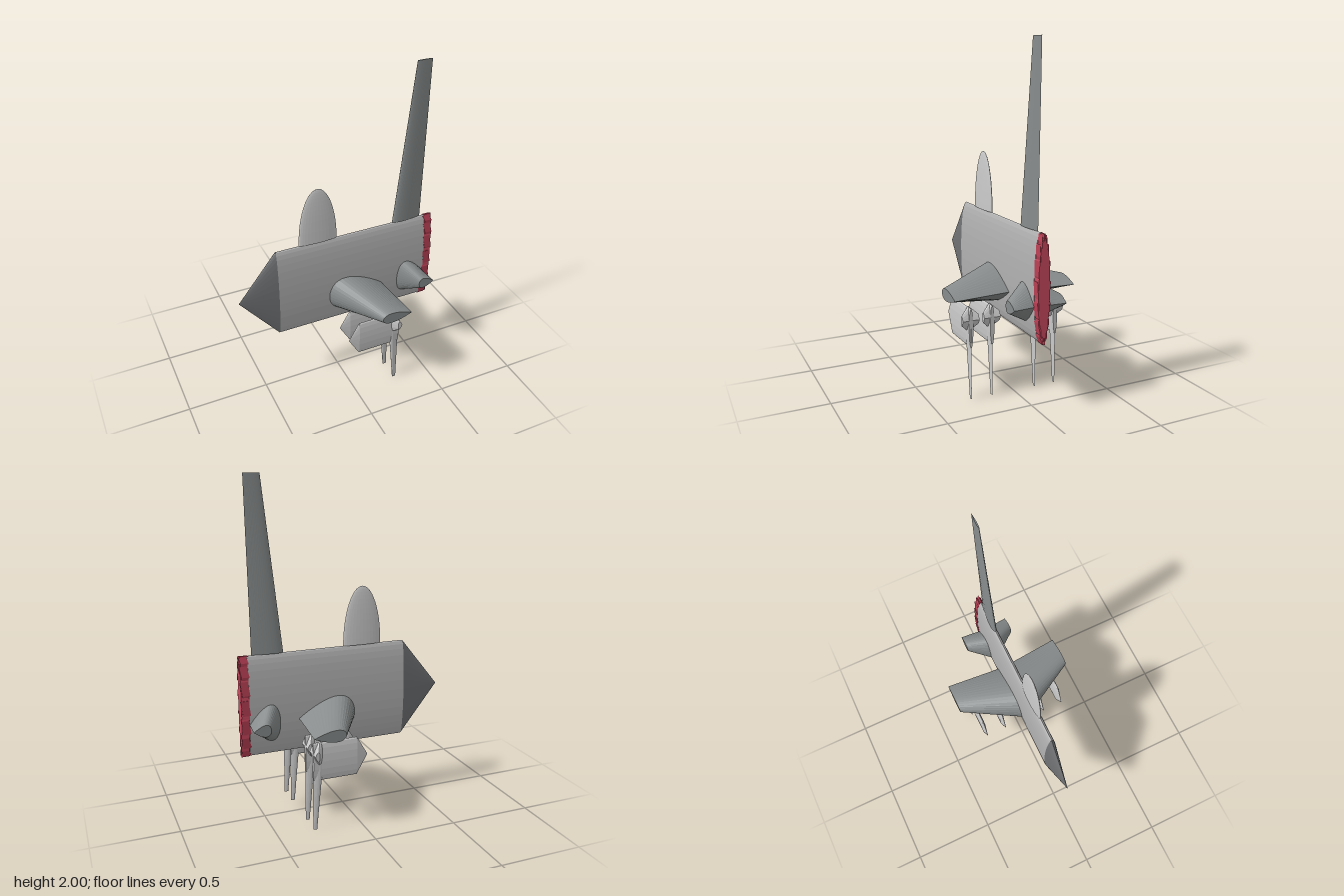
import * as THREE from 'three';

const paint = (color) => new THREE.MeshStandardMaterial({ color, flatShading: true });
const light = paint(0xcccccc);
const canopyGrey = paint(0xc2c4c6);
const hullGrey = paint(0xb2b2b2);
const wingGrey = paint(0x888c8c);
const noseGrey = paint(0x707274);
const red = paint(0xcc4a60);
const petalRed = paint(0xb83f54);

function add(parent, name, geometry, material) {
  const mesh = new THREE.Mesh(geometry, material);
  mesh.name = name;
  parent.add(mesh);
  return mesh;
}

// Elliptical tube or cone along x; f0 and f1 scale the radius at the x0 and x1 ends
function barrel(x0, x1, f0, f1, ry, rz, y, sides) {
  return new THREE.CylinderGeometry(f0, f1, x1 - x0, sides)
    .rotateZ(Math.PI / 2)
    .scale(1, ry, rz)
    .translate((x0 + x1) / 2, y, 0);
}

// Tapered aerofoil spanning z, closed at both ends; a section is [span, leading x, trailing x, half thickness]
function aerofoil(sections, turn, n) {
  const pos = [], idx = [];
  for (const [s, le, te, half] of sections) {
    for (let i = 0; i < n; i++) {
      const a = (i / n) * Math.PI * 2;
      const c = (1 + Math.cos(a)) / 2;
      const t = 10 * half * (0.2969 * Math.sqrt(c) - 0.126 * c - 0.3516 * c ** 2 + 0.2843 * c ** 3 - 0.1036 * c ** 4);
      pos.push(le + c * (te - le), Math.sign(Math.sin(a)) * t, s);
    }
  }
  for (let i = 0; i < n; i++) {
    const j = (i + 1) % n;
    idx.push(i, j, n + j, i, n + j, n + i);
  }
  for (let i = 1; i < n - 1; i++) idx.push(n, n + i, n + i + 1, 0, i + 1, i);
  const g = new THREE.BufferGeometry();
  g.setAttribute('position', new THREE.Float32BufferAttribute(pos, 3));
  g.setIndex(idx);
  g.computeVertexNormals();
  return g.rotateX(turn);
}

function makeMissile(z) {
  const m = new THREE.Group();
  m.name = 'missile';
  m.position.set(0, 0.418, z);
  add(m, 'missileBody', barrel(0.02, 0.287, 1, 1, 0.115, 0.013, 0, 16), light);
  add(m, 'missileNose', barrel(-0.047, 0.02, 0, 1, 0.115, 0.013, 0, 16), light);
  add(m, 'missileLowerFin', aerofoil([[0, 0.225, 0.288, 0.014], [0.418, 0.265, 0.289, 0.003]], Math.PI / 2, 16), light);
  for (const turn of [0, Math.PI]) {
    const fin = aerofoil([[0, 0.225, 0.287, 0.075], [0.05, 0.262, 0.289, 0.03]], turn, 16);
    add(m, 'missileSideFin', fin, light).position.y = 0.047;
  }
  return m;
}

export function createModel() {
  const jet = new THREE.Group();
  jet.name = 'jet';

  // Fuselage and nose
  add(jet, 'fuselage', barrel(-0.39, 0.58, 1, 1, 0.3, 0.036, 0.7, 32), hullGrey);
  add(jet, 'noseCone', barrel(-0.63, -0.39, 0, 1, 0.3, 0.036, 0.7, 32), noseGrey);

  // Canopy: half dome with a flat floor resting on the fuselage
  const canopy = new THREE.Group();
  canopy.name = 'canopy';
  canopy.position.set(-0.125, 1, 0);
  canopy.scale.set(0.12, 0.35, 0.018);
  jet.add(canopy);
  add(canopy, 'canopyDome', new THREE.SphereGeometry(1, 32, 14, 0, Math.PI * 2, 0, Math.PI / 2), canopyGrey);
  add(canopy, 'canopyFloor', new THREE.CircleGeometry(1, 32).rotateX(Math.PI / 2), canopyGrey);

  // Exhaust nozzle with a ring of slightly twisted petals
  const nozzle = new THREE.Group();
  nozzle.name = 'nozzle';
  jet.add(nozzle);
  add(nozzle, 'nozzleCore', barrel(0.578, 0.627, 0.94, 0.94, 0.3, 0.036, 0.7, 32), red);
  const petals = 16;
  for (let i = 0; i < petals; i++) {
    add(nozzle, 'nozzlePetal', new THREE.BoxGeometry(0.046, 0.12, 0.3)
      .rotateY(0.04)
      .translate(0.602, 0.945, 0)
      .rotateX((i / petals) * Math.PI * 2)
      .scale(1, 0.3, 0.036)
      .translate(0, 0.7, 0), petalRed);
  }

  // Main wings and tailplanes, mirrored
  for (const turn of [0, Math.PI]) {
    const wing = aerofoil([[0, -0.085, 0.282, 0.12], [0.375, 0.125, 0.315, 0.035]], turn, 44);
    const tailplane = aerofoil([[0, 0.373, 0.578, 0.13], [0.157, 0.49, 0.592, 0.035]], turn, 44);
    add(jet, 'wing', wing, wingGrey).position.y = 0.598;
    add(jet, 'tailplane', tailplane, wingGrey).position.y = 0.598;
  }

  // Vertical fin standing on the fuselage
  add(jet, 'tailFin', aerofoil([[1, 0.364, 0.552, 0.016], [2, 0.475, 0.569, 0.004]], -Math.PI / 2, 44), wingGrey);

  // Missiles under the wings
  for (const z of [-0.268, -0.138, 0.138, 0.268]) jet.add(makeMissile(z));

  return jet;
}
